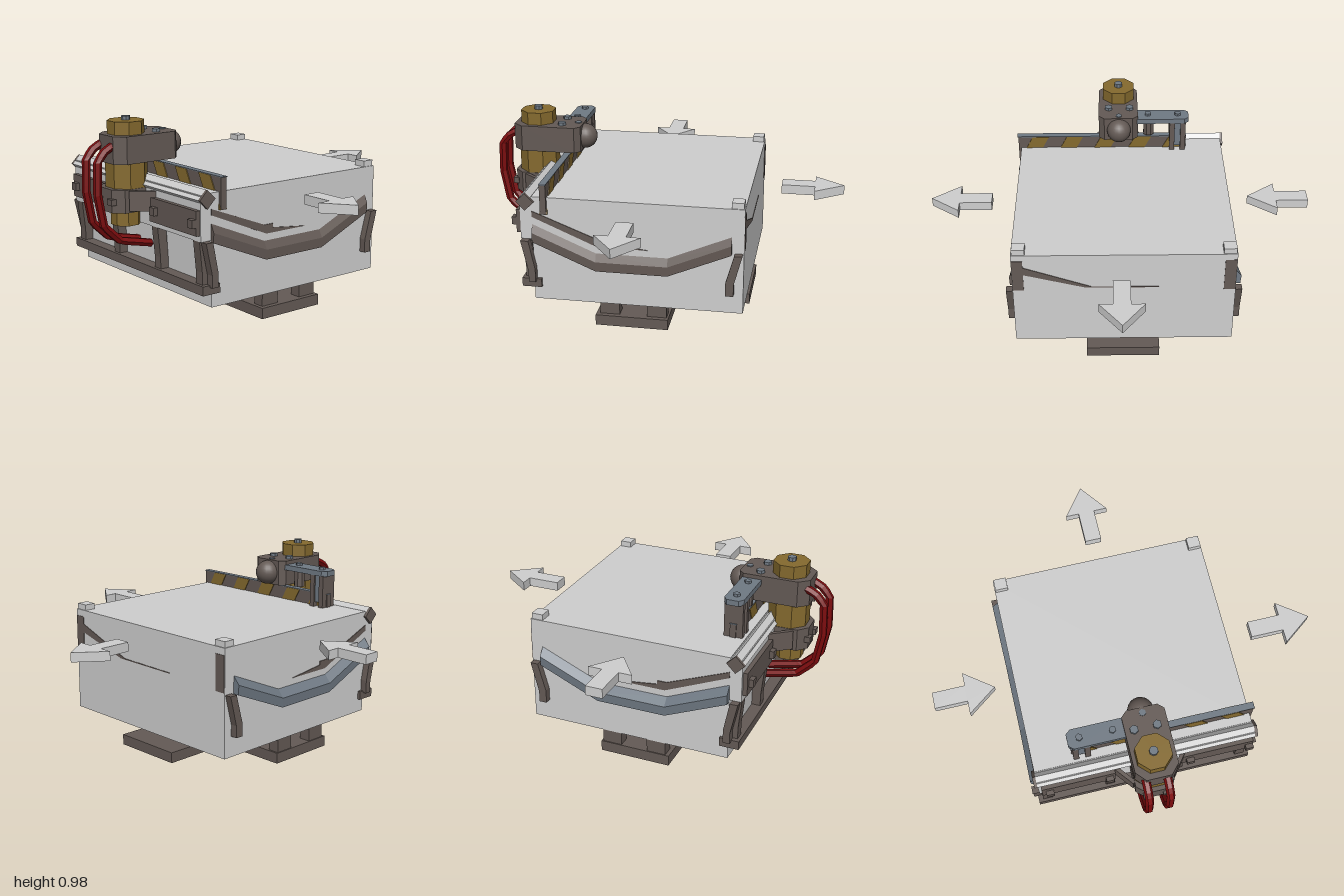
import * as THREE from 'three';

const mat = (name, color) => {
  const m = new THREE.MeshStandardMaterial({ color });
  m.name = name;
  return m;
};

export function createModel() {
  const root = new THREE.Group();
  const light = mat('light grey', 0xcfcfcf);
  const dark = mat('dark brown grey', 0x645a55);
  const steel = mat('steel blue', 0x707a84);
  const gold = mat('gold', 0x856a2e);
  const red = mat('red', 0x7c0b0d);

  const add = (name, geo, m) => {
    const mesh = new THREE.Mesh(geo, m);
    mesh.name = name;
    root.add(mesh);
    return mesh;
  };
  // box given by its limits
  const box = (name, m, x0, x1, y0, y1, z0, z1) => {
    const mesh = add(name, new THREE.BoxGeometry(x1 - x0, y1 - y0, z1 - z0), m);
    mesh.position.set((x0 + x1) / 2, (y0 + y1) / 2, (z0 + z1) / 2);
    return mesh;
  };
  const extrude = (pts, depth) => new THREE.ExtrudeGeometry(
    new THREE.Shape(pts.map(p => new THREE.Vector2(p[0], p[1]))), { depth, bevelEnabled: false });
  // outline in x,y extruded along z
  const plate = (name, m, pts, z0, z1) => add(name, extrude(pts, z1 - z0).translate(0, 0, z0), m);
  // outline in x,z extruded upward
  const slab = (name, m, pts, y0, y1) => add(name,
    extrude(pts.map(([x, z]) => [x, -z]), y1 - y0).rotateX(-Math.PI / 2).translate(0, y0, 0), m);
  // outline in z,y extruded along x
  const side = (name, m, pts, x0, x1) => add(name,
    extrude(pts.map(([z, y]) => [-z, y]), x1 - x0).rotateY(Math.PI / 2).translate(x0, 0, 0), m);
  const cyl = (name, m, x, y0, y1, z, r, n = 8) => {
    const geo = new THREE.CylinderGeometry(r, r, y1 - y0, n).rotateY(Math.PI / n).toNonIndexed();
    geo.computeVertexNormals();
    return add(name, geo.translate(x, (y0 + y1) / 2, z), m);
  };

  // main body
  box('body', light, -0.6, 0.455, 0.125, 0.675, -0.575, 0.545);
  box('frontCornerPost', light, 0.39, 0.45, 0.67, 0.705, 0.475, 0.54);
  box('backCornerPost', light, 0.39, 0.45, 0.67, 0.705, -0.57, -0.505);

  // T-shaped foot and its supports
  slab('foot', dark, [[-0.29, -0.575], [0.08, -0.575], [0.08, -0.2], [0.455, -0.2],
    [0.455, 0.18], [0.08, 0.18], [0.08, 0.545], [-0.29, 0.545]], 0, 0.055);
  for (const z of [0.49, 0.18, -0.22, -0.54]) {
    box('support', dark, -0.27, -0.17, 0.05, 0.13, z - 0.03, z + 0.03);
    box('support', dark, -0.03, 0.07, 0.05, 0.13, z - 0.03, z + 0.03);
  }
  box('centreSupport', dark, -0.2, 0.07, 0.05, 0.1, -0.15, 0.12);
  box('centreCap', dark, -0.28, 0.1, 0.095, 0.13, -0.15, 0.12);

  // bent bumper bars, swept from a four-point section
  const bumper = (name, m, z, dir, depth) => {
    const path = [[-0.6, 0.485], [-0.28, 0.35], [0.08, 0.35], [0.395, 0.485]];
    const section = [[0, 0.045], [1, 0.005], [0.9, -0.045], [0, -0.045]];
    const pos = [], idx = [];
    for (const [x, y] of path)
      for (const [d, h] of section) pos.push(x, y + h, z + dir * d * depth);
    const quad = (a, b, c, d) => idx.push(...(dir > 0 ? [a, b, c, a, c, d] : [a, c, b, a, d, c]));
    for (let i = 0; i < 3; i++)
      for (let j = 0; j < 4; j++) {
        const k = (j + 1) % 4;
        quad(i * 4 + j, i * 4 + k, i * 4 + 4 + k, i * 4 + 4 + j);
      }
    quad(3, 2, 1, 0);
    quad(12, 13, 14, 15);
    let g = new THREE.BufferGeometry();
    g.setAttribute('position', new THREE.Float32BufferAttribute(pos, 3));
    g.setIndex(idx);
    g = g.toNonIndexed();
    g.computeVertexNormals();
    add(name, g, m);
  };
  bumper('frontBumper', dark, 0.545, 1, 0.02);
  bumper('backBumper', steel, -0.575, -1, 0.034);

  // details on the front and back: panel streak and bent hooks
  for (const [z0, z1, h0, h1] of [[0.54, 0.549, 0.54, 0.58], [-0.579, -0.57, -0.61, -0.57]]) {
    plate('streak', dark, [[-0.6, 0.6], [-0.28, 0.475], [-0.23, 0.475], [-0.23, 0.455],
      [-0.02, 0.43], [-0.27, 0.43], [-0.6, 0.57]], z0, z1);
    plate('rightHook', dark, [[-0.655, 0.45], [-0.615, 0.45], [-0.585, 0.3], [-0.585, 0.23],
      [-0.62, 0.23], [-0.62, 0.29]], h0, h1);
    plate('leftHook', dark, [[0.45, 0.445], [0.41, 0.445], [0.37, 0.3], [0.37, 0.23],
      [0.41, 0.23], [0.41, 0.29]], h0, h1);
  }

  // painted marks on the left face
  box('cornerMark', dark, 0.45, 0.458, 0.455, 0.64, 0.488, 0.543);
  box('cornerMark', dark, 0.45, 0.458, 0.455, 0.64, -0.573, -0.515);
  side('sideStreak', dark, [[0.488, 0.6], [0.488, 0.555], [0.18, 0.472], [-0.19, 0.47],
    [-0.19, 0.474], [0.15, 0.477]], 0.45, 0.458);

  // side rail with diamond top bar
  box('rail', light, -0.66, -0.595, 0.45, 0.67, -0.575, 0.545);
  const diamond = (name, m, z0, z1) => plate(name, m,
    [[-0.675, 0.65], [-0.63, 0.605], [-0.585, 0.65], [-0.63, 0.695]], z0, z1);
  diamond('railBar', light, -0.575, 0.545);
  diamond('railBarEnd', dark, 0.545, 0.56);
  diamond('railBarEnd', dark, -0.59, -0.575);
  box('lowerBeam', dark, -0.66, -0.56, 0.195, 0.24, -0.59, 0.56);
  for (const z of [-0.54, -0.2, 0.17, 0.51])
    plate('railLeg', dark, [[-0.66, 0.45], [-0.61, 0.45], [-0.6, 0.3], [-0.6, 0.23],
      [-0.645, 0.23], [-0.645, 0.3]], z - 0.025, z + 0.025);
  for (const s of [-1, 1]) {
    box('railPanel', dark, -0.682, -0.655, 0.48, 0.6, s > 0 ? 0.16 : -0.56, s > 0 ? 0.54 : -0.18);
    for (const z of [0.21, 0.52])
      box('railBolt', dark, -0.705, -0.68, 0.52, 0.56, s * z - 0.02, s * z + 0.02);
    // slanted brace from the carriage to the rail
    const brace = box('brace', dark, -0.01, 0.01, 0.53, 0.63, -0.065, 0.065);
    brace.position.set(-0.705, 0.58, s * 0.14);
    brace.rotation.y = s * 0.9;
  }

  // striped board
  box('board', dark, -0.553, -0.522, 0.59, 0.743, -0.375, 0.56);
  box('boardTop', steel, -0.555, -0.52, 0.743, 0.747, -0.375, 0.565);
  for (const z of [0.47, 0.28, 0.09, -0.1, -0.29])
    for (const x of [-0.557, -0.522])
      side('stripe', gold, [[z + 0.09, 0.59], [z, 0.59], [z - 0.08, 0.743], [z + 0.01, 0.743]],
        x, x + 0.004);

  // head with rounded front lens
  slab('head', dark, [[-0.82, -0.06], [-0.77, -0.105], [-0.49, -0.105], [-0.462, -0.075],
    [-0.462, 0.08], [-0.49, 0.11], [-0.77, 0.11], [-0.82, 0.065]], 0.76, 0.895);
  add('lens', new THREE.SphereGeometry(0.065, 20, 14).translate(-0.455, 0.825, 0), dark);
  for (const z of [-0.06, 0.055]) cyl('headBolt', steel, -0.565, 0.89, 0.91, z, 0.022, 6);
  cyl('headBolt', steel, -0.49, 0.89, 0.9, 0, 0.018, 6);

  // motor
  cyl('motorCap', gold, -0.705, 0.89, 0.96, 0, 0.092);
  cyl('motorBolt', steel, -0.705, 0.955, 0.98, 0, 0.022);
  cyl('motorBody', gold, -0.705, 0.6, 0.77, 0, 0.105);
  cyl('motorEnd', gold, -0.715, 0.445, 0.55, 0, 0.075);
  slab('carriage', dark, [[-0.825, -0.05], [-0.78, -0.1], [-0.65, -0.1], [-0.65, 0.1],
    [-0.78, 0.1], [-0.825, 0.05]], 0.52, 0.635);
  for (const z of [-0.05, 0.05]) box('carriageBolt', dark, -0.84, -0.81, 0.56, 0.59, z - 0.02, z + 0.02);

  // rear sensor arm
  slab('arm', steel, [[-0.585, -0.1], [-0.585, -0.36], [-0.565, -0.385], [-0.505, -0.385],
    [-0.485, -0.36], [-0.485, -0.1]], 0.847, 0.875);
  for (const z of [-0.16, -0.325]) cyl('armBolt', steel, -0.535, 0.87, 0.888, z, 0.018, 6);
  cyl('armPin', dark, -0.535, 0.76, 0.85, -0.165, 0.03);
  for (const z of [-0.355, -0.295]) box('armPost', dark, -0.585, -0.49, 0.67, 0.85, z - 0.014, z + 0.014);
  cyl('armCore', steel, -0.535, 0.7, 0.85, -0.325, 0.04);

  // pair of red hoses
  for (const z of [-0.06, 0.045]) {
    const curve = new THREE.CurvePath();
    const pts = [[-0.8, 0.85], [-0.85, 0.83], [-0.895, 0.78], [-0.9, 0.62], [-0.87, 0.46],
      [-0.78, 0.375], [-0.6, 0.335]].map(([x, y]) => new THREE.Vector3(x, y, z));
    for (let i = 1; i < pts.length; i++) curve.add(new THREE.LineCurve3(pts[i - 1], pts[i]));
    const g = new THREE.TubeGeometry(curve, 24, 0.021, 6).toNonIndexed();
    g.computeVertexNormals();
    add('hose', g, red);
  }

  // direction arrows around the body
  const arrow = (name, x, z, turn) => {
    const mesh = slab(name, light, [[0, -0.043], [0.17, -0.043], [0.17, -0.112], [0.32, 0],
      [0.17, 0.112], [0.17, 0.043], [0, 0.043]], 0.58, 0.628);
    mesh.position.set(x, 0, z);
    mesh.rotation.y = turn;
  };
  arrow('leftArrow', 0.593, 0, 0);
  arrow('frontArrow', -0.103, 0.68, -Math.PI / 2);
  arrow('backArrow', -0.103, -1, -Math.PI / 2);

  return root;
}
